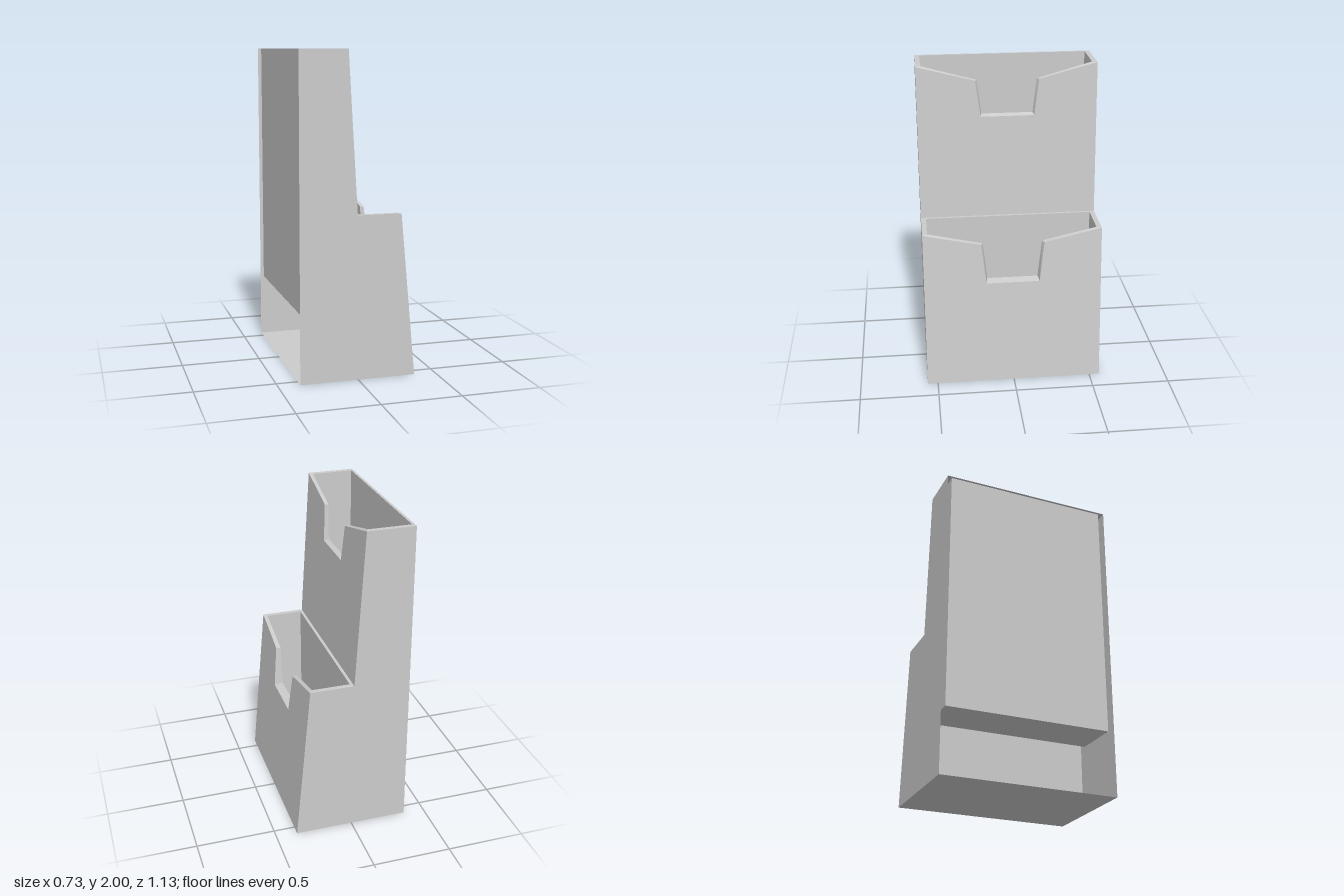
import * as THREE from 'three';

const material = new THREE.MeshStandardMaterial({
  color: 0xcccccc, flatShading: true, side: THREE.DoubleSide,
});
const W = 0.566;   // half width of the shell
const C = 0.534;   // half width of the pockets
const BACK = -0.365;

// Flat polygon through 3D points, facing the given direction
function panel(name, points, facing) {
  const dir = new THREE.Vector3(...facing);
  const drop = [0, 1, 2].reduce((a, b) => (Math.abs(facing[b]) > Math.abs(facing[a]) ? b : a), 0);
  const [u, v] = [0, 1, 2].filter((i) => i !== drop);
  const tris = THREE.ShapeUtils.triangulateShape(points.map((p) => new THREE.Vector2(p[u], p[v])), []);
  const positions = [];
  for (const t of tris) {
    const [a, b, c] = t.map((i) => new THREE.Vector3(...points[i]));
    const n = b.clone().sub(a).cross(c.clone().sub(a));
    const order = n.dot(dir) < 0 ? [a, c, b] : [a, b, c];
    order.forEach((p) => positions.push(p.x, p.y, p.z));
  }
  const geometry = new THREE.BufferGeometry();
  geometry.setAttribute('position', new THREE.Float32BufferAttribute(positions, 3));
  geometry.computeVertexNormals();
  const mesh = new THREE.Mesh(geometry, material);
  mesh.name = name;
  return mesh;
}

// Mirror half an outline of [x, y, z] points across z = 0
const mirrored = (half) => [...half, ...half.slice().reverse().map(([x, y, z]) => [x, y, -z])];

// One tier: sloped front with a notch, rim and inner pocket
function createTier(name, t) {
  const tier = new THREE.Group();
  tier.name = name;
  const outerX = (y) => t.outerTop + (t.outerLow - t.outerTop) * (t.top - y) / (t.top - t.low);
  const innerX = (y) => t.innerTop + t.innerSlope * (t.top - y);
  const outline = (points, fx) => points.map(([y, z]) => [fx(y), y, z]);

  const outer = mirrored(outline([[t.top, W], [t.shoulder, 0.2], [t.notch, 0.17]], outerX));
  const inner = mirrored(outline([[t.top, C], [t.shoulder, 0.188], [t.notch + 0.012, 0.162]], innerX));
  const outerLow = [[t.outerLow, t.low, -W], [t.outerLow, t.low, W]];
  const bx = innerX(t.floor);
  const innerLow = [[bx, t.floor, -C], [bx, t.floor, C]];

  tier.add(panel('frontWall', [...outer, ...outerLow], [1, 0, 0]));
  tier.add(panel('pocketFront', [...inner, ...innerLow], [-1, 0, 0]));

  // Front rim following the notch
  for (let i = 0; i < outer.length - 1; i++) {
    const facing = i === 1 ? [0, 0.1, -1] : i === 3 ? [0, 0.1, 1] : [0, 1, 0];
    tier.add(panel('frontRim', [outer[i], outer[i + 1], inner[i + 1], inner[i]], facing));
  }

  // Back rim, side rims and pocket sides
  tier.add(panel('backRim', [[t.rimBack, t.top, -W], [t.rimBack, t.top, W],
    [t.pocketBack, t.top, C], [t.pocketBack, t.top, -C]], [0, 1, 0]));
  for (const s of [-1, 1]) {
    tier.add(panel('sideRim', [[t.rimBack, t.top, s * W], [t.outerTop, t.top, s * W],
      [t.innerTop, t.top, s * C], [t.pocketBack, t.top, s * C]], [0, 1, 0]));
    tier.add(panel('pocketSide', [[t.pocketBack, t.top, s * C], [t.innerTop, t.top, s * C],
      [bx, t.floor, s * C], [t.pocketBack, t.floor, s * C]], [0, 0, -s]));
  }
  tier.add(panel('pocketBack', [[t.pocketBack, t.top, -C], [t.pocketBack, t.top, C],
    [t.pocketBack, t.floor, C], [t.pocketBack, t.floor, -C]], [1, 0, 0]));
  tier.add(panel('pocketFloor', [[t.pocketBack, t.floor, -C], [t.pocketBack, t.floor, C],
    [bx, t.floor, C], [bx, t.floor, -C]], [0, 1, 0]));
  return tier;
}

export function createModel() {
  const model = new THREE.Group();
  model.name = 'tieredHolder';

  model.add(createTier('upperTier', {
    top: 2, low: 1.02, shoulder: 1.905, notch: 1.676, floor: 0.42,
    rimBack: BACK, pocketBack: -0.349, outerTop: -0.066, outerLow: -0.007,
    innerTop: -0.085, innerSlope: 0.03,
  }));
  model.add(createTier('lowerTier', {
    top: 1.02, low: 0, shoulder: 0.942, notch: 0.682, floor: 0.027,
    rimBack: -0.007, pocketBack: 0.012, outerTop: 0.27, outerLow: 0.365,
    innerTop: 0.249, innerSlope: 0,
  }));

  // Stepped side walls and base; the shell is open at the back
  const profile = [[BACK, 0], [0.365, 0], [0.27, 1.02], [-0.007, 1.02], [-0.066, 2], [BACK, 2]];
  for (const s of [-1, 1]) {
    model.add(panel(s > 0 ? 'frontSideWall' : 'rearSideWall',
      profile.map(([x, y]) => [x, y, s * W]), [0, 0, s]));
  }
  model.add(panel('base', [[BACK, 0, -W], [0.365, 0, -W], [0.365, 0, W], [BACK, 0, W]], [0, -1, 0]));
  return model;
}
